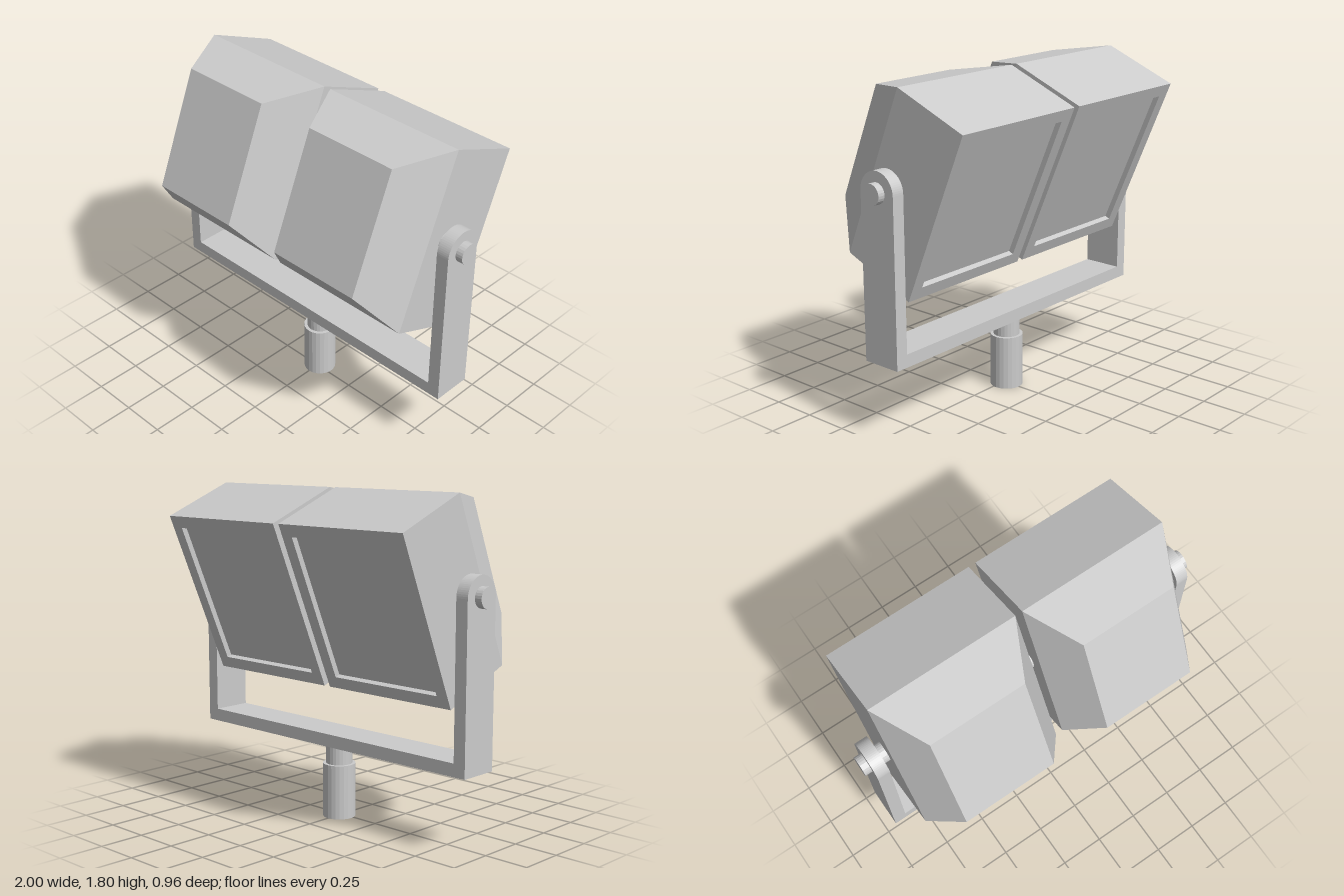
import * as THREE from 'three';

const AXIS_Y = 1.3, AXIS_Z = -0.02;

const material = new THREE.MeshStandardMaterial({ color: 0xcccccc, flatShading: true });

function part(name, geometry, parent, x = 0, y = 0, z = 0) {
  const mesh = new THREE.Mesh(geometry, material);
  mesh.name = name;
  mesh.position.set(x, y, z);
  parent.add(mesh);
  return mesh;
}

// Skins a run of rectangular sections [halfWidth, halfHeight, z] and caps both ends
function rectLoft(sections) {
  const rings = sections.map(([w, h, z]) => [[-w, -h, z], [w, -h, z], [w, h, z], [-w, h, z]]);
  const positions = [];
  const quad = (a, b, c, d) => positions.push(...a, ...b, ...c, ...a, ...c, ...d);
  for (let i = 0; i < rings.length - 1; i++) {
    for (let j = 0; j < 4; j++) {
      const k = (j + 1) % 4;
      quad(rings[i][j], rings[i][k], rings[i + 1][k], rings[i + 1][j]);
    }
  }
  const [a, b, c, d] = rings[0];
  quad(d, c, b, a);
  quad(...rings[rings.length - 1]);
  const geometry = new THREE.BufferGeometry();
  geometry.setAttribute('position', new THREE.Float32BufferAttribute(positions, 3));
  geometry.computeVertexNormals();
  return geometry;
}

// Upright bar with a round top, centred on the axle
function armGeometry(radius, bottom, thickness) {
  const shape = new THREE.Shape();
  shape.moveTo(-radius, bottom);
  shape.lineTo(radius, bottom);
  shape.lineTo(radius, 0);
  shape.absarc(0, 0, radius, 0, Math.PI, false);
  shape.closePath();
  const geometry = new THREE.ExtrudeGeometry(shape, { depth: thickness, bevelEnabled: false, curveSegments: 16 });
  return geometry.translate(0, 0, -thickness / 2).rotateY(Math.PI / 2);
}

export function createModel() {
  const model = new THREE.Group();
  model.name = 'twinLampOnYoke';

  // Tilted pair of housings with a recessed panel at the back
  const heads = new THREE.Group();
  heads.name = 'tiltingHeads';
  heads.position.set(0, AXIS_Y, AXIS_Z);
  heads.rotation.x = -Math.PI / 8;
  model.add(heads);
  const housing = rectLoft([
    [0.347, 0.412, -0.27], // recess floor
    [0.347, 0.412, -0.3],  // recess lip
    [0.4165, 0.482, -0.3], // back rim
    [0.4165, 0.482, 0.146],
    [0.2675, 0.332, 0.406], // tapered front
  ]);
  part('leftHousing', housing, heads, 0.4365);
  part('rightHousing', housing, heads, -0.4365);

  // Axle through both housings and the yoke
  part('axle', new THREE.CylinderGeometry(0.055, 0.055, 2, 24).rotateZ(Math.PI / 2), model, 0, AXIS_Y, AXIS_Z);

  // Yoke
  const arm = armGeometry(0.11, 0.41 - AXIS_Y, 0.07);
  part('leftYokeArm', arm, model, 0.925, AXIS_Y, AXIS_Z);
  part('rightYokeArm', arm, model, -0.925, AXIS_Y, AXIS_Z);
  part('yokeBar', new THREE.BoxGeometry(1.78, 0.07, 0.22), model, 0, 0.445, AXIS_Z);

  // Mounting post
  part('postNeck', new THREE.CylinderGeometry(0.072, 0.072, 0.12, 24), model, 0, 0.355, AXIS_Z);
  part('postBase', new THREE.CylinderGeometry(0.09, 0.09, 0.3, 24), model, 0, 0.15, AXIS_Z);

  return model;
}
